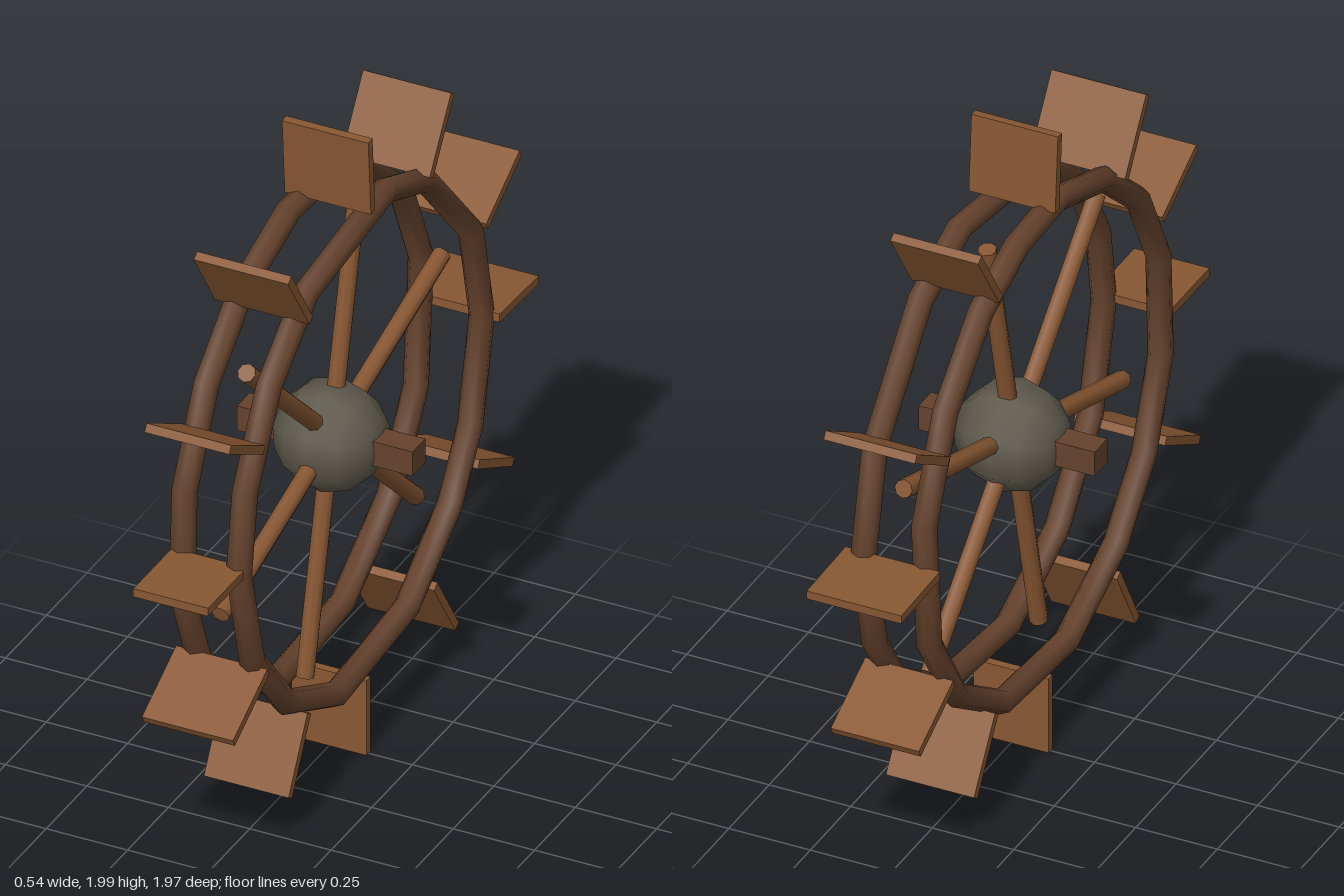
import * as THREE from 'three';

const rad = THREE.MathUtils.degToRad;
const mat = (name, color) => Object.assign(new THREE.MeshStandardMaterial({ color }), { name });

// Polygonal hoop: a torus whose joints are slid round to uneven angles (degrees).
function hoopGeometry(angles) {
  const n = angles.length;
  const geo = new THREE.TorusGeometry(0.745, 0.037, 7, n);
  const { position, normal } = geo.attributes;
  const v = new THREE.Vector3();
  const axis = new THREE.Vector3(0, 0, 1);
  for (let i = 0; i < position.count; i++) {
    const k = i % (n + 1);
    const turn = rad(angles[k % n]) - (k % n) / n * Math.PI * 2;
    for (const attr of [position, normal]) {
      v.fromBufferAttribute(attr, i).applyAxisAngle(axis, turn);
      attr.setXYZ(i, v.x, v.y, v.z);
    }
  }
  return geo;
}

export function createModel() {
  const darkWood = mat('dark wood', 0x65422d);
  const warmWood = mat('warm wood', 0x885733);
  const iron = mat('weathered iron', 0x5f5a4d);

  // The wheel is laid out in the XY plane, then turned so its axle runs along x.
  const wheel = new THREE.Group();
  wheel.name = 'wheel';
  wheel.position.y = 1;
  wheel.rotation.y = Math.PI / 2;
  const add = (name, geo, material, parent = wheel) => {
    const mesh = new THREE.Mesh(geo, material);
    mesh.name = name;
    parent.add(mesh);
    return mesh;
  };

  // Two roughly jointed rims
  const leftRim = [0, 25, 58, 78, 117, 139, 162, 181, 207, 232, 258, 293, 318, 335];
  const rightRim = [11, 36, 59, 77, 97, 120, 142, 165, 190, 212, 232, 258, 290, 316, 340];
  add('leftRim', hoopGeometry(leftRim), darkWood).position.z = 0.09;
  add('rightRim', hoopGeometry(rightRim), darkWood).position.z = -0.09;

  // Hub and square axle
  const hub = add('hub', new THREE.SphereGeometry(0.163, 8, 6), iron);
  hub.rotation.set(Math.PI / 2, Math.PI / 8, 0);
  add('axle', new THREE.BoxGeometry(0.078, 0.078, 0.54), darkWood);

  // Six spokes
  const spokeGeo = new THREE.CylinderGeometry(0.027, 0.027, 0.62, 8).translate(0, 0.4, 0);
  for (let i = 0; i < 6; i++) {
    add('spoke', spokeGeo, warmWood).rotation.z = rad(17 + i * 60 - 90);
  }

  // Twelve paddles: angle round the wheel, extra tilt, width
  const paddles = [
    [0, -2, 0.29], [27, 4, 0.28], [62, -5, 0.27], [91, 3, 0.265],
    [123, 0, 0.29], [152, -1, 0.26], [180, 0, 0.23], [208.5, 0, 0.28],
    [239, 2, 0.26], [270, 0, 0.23], [300, 3, 0.27], [328, 5, 0.27],
  ];
  for (const [angle, tilt, width] of paddles) {
    const arm = new THREE.Group();
    arm.name = 'paddle';
    arm.rotation.z = rad(angle);
    wheel.add(arm);
    const board = add('paddleBoard', new THREE.BoxGeometry(0.24, 0.026, width), warmWood, arm);
    board.position.x = angle % 180 === 0 ? 0.865 : 0.877;
    board.rotation.z = rad(tilt);
  }

  const model = new THREE.Group();
  model.name = 'waterWheel';
  model.add(wheel);
  return model;
}
